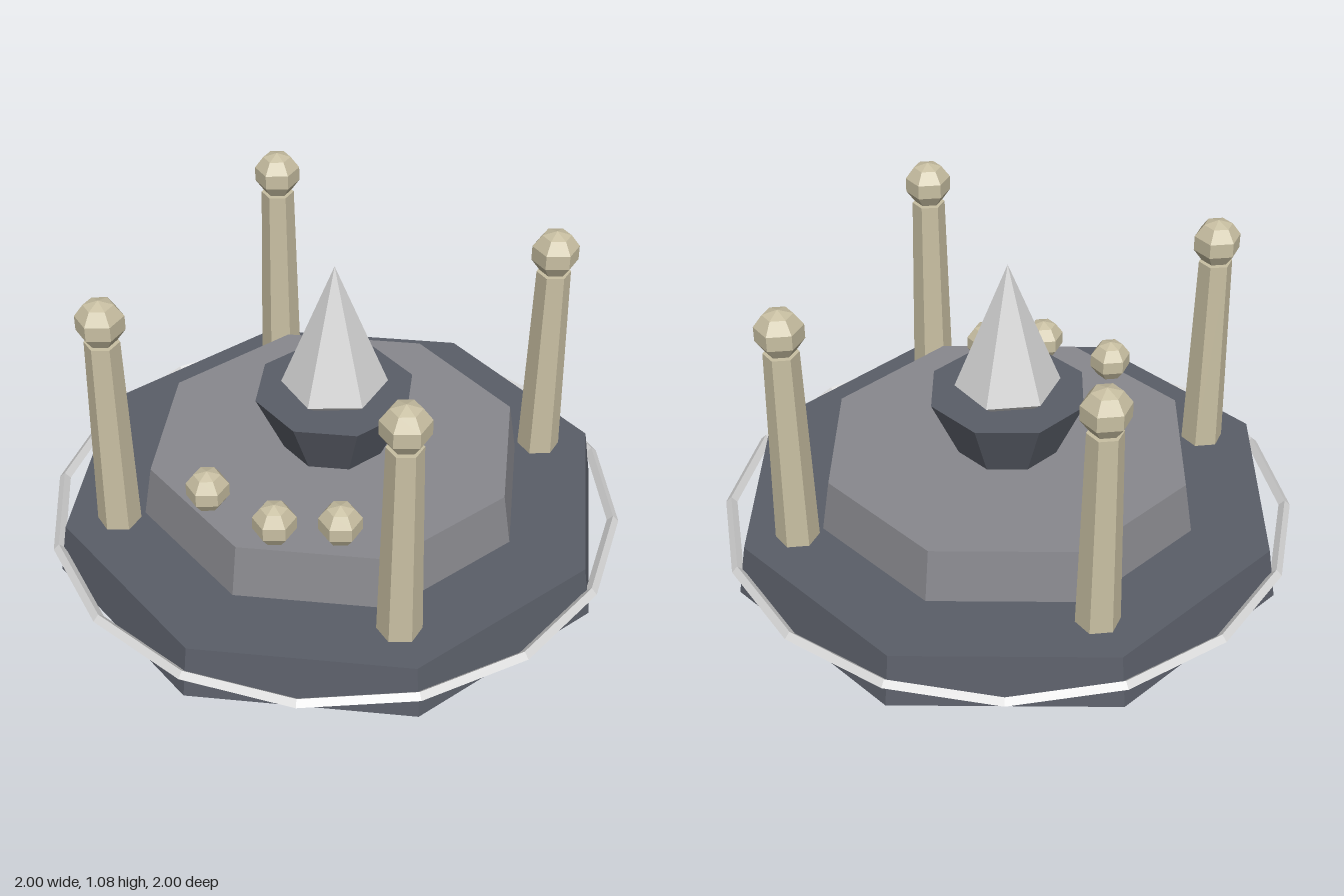
import * as THREE from 'three';

export function createModel() {
  const model = new THREE.Group();
  model.name = 'crystalShrine';

  const material = (name, color) => {
    const m = new THREE.MeshStandardMaterial({ color, flatShading: true });
    m.name = name;
    return m;
  };
  const slate = material('slate', 0x5a5e68);
  const stone = material('stone', 0x88888d);
  const silver = material('silver', 0xd4d4d4);
  const bone = material('bone', 0xc8bfa2);

  const add = (name, geometry, mat, x = 0, y = 0, z = 0) => {
    const mesh = new THREE.Mesh(geometry, mat);
    mesh.name = name;
    mesh.position.set(x, y, z);
    model.add(mesh);
    return mesh;
  };
  // Tapered prism standing between two heights
  const prism = (name, mat, rTop, rBottom, y0, y1, sides, x = 0, z = 0) =>
    add(name, new THREE.CylinderGeometry(rTop, rBottom, y1 - y0, sides), mat, x, (y0 + y1) / 2, z);
  // Faceted bead with corners along z
  const bead = (name, r, x, y, z) =>
    add(name, new THREE.SphereGeometry(r, 6, 5).rotateY(Math.PI / 2), bone, x, y, z);

  // Stepped octagonal platform
  prism('base', slate, 0.95, 0.98, 0, 0.185, 8);
  prism('upperStep', stone, 0.645, 0.675, 0.185, 0.37, 8);

  // Thin band around the base
  add('baseRing', new THREE.TorusGeometry(0.98, 0.02, 4, 16).rotateX(Math.PI / 2), silver, 0, 0.093, 0);

  // Flared pedestal and the crystal set in it
  prism('pedestal', slate, 0.275, 0.18, 0.37, 0.585, 8);
  prism('crystalFoot', silver, 0.18, 0.145, 0.585, 0.615, 6);
  add('crystal', new THREE.ConeGeometry(0.18, 0.455, 6), silver, 0, 0.8425, 0);

  // Four corner pillars with finials
  for (const x of [-0.54, 0.54]) {
    for (const z of [-0.54, 0.54]) {
      prism('pillar', bone, 0.058, 0.074, 0.185, 0.92, 6, x, z);
      bead('pillarFinial', 0.083, x, 0.993, z);
    }
  }

  // Small offerings near the front of the step
  for (const [x, z] of [[-0.185, 0.515], [0.09, 0.55], [0.275, 0.45]]) {
    bead('offering', 0.075, x, 0.44, z);
  }
  return model;
}
